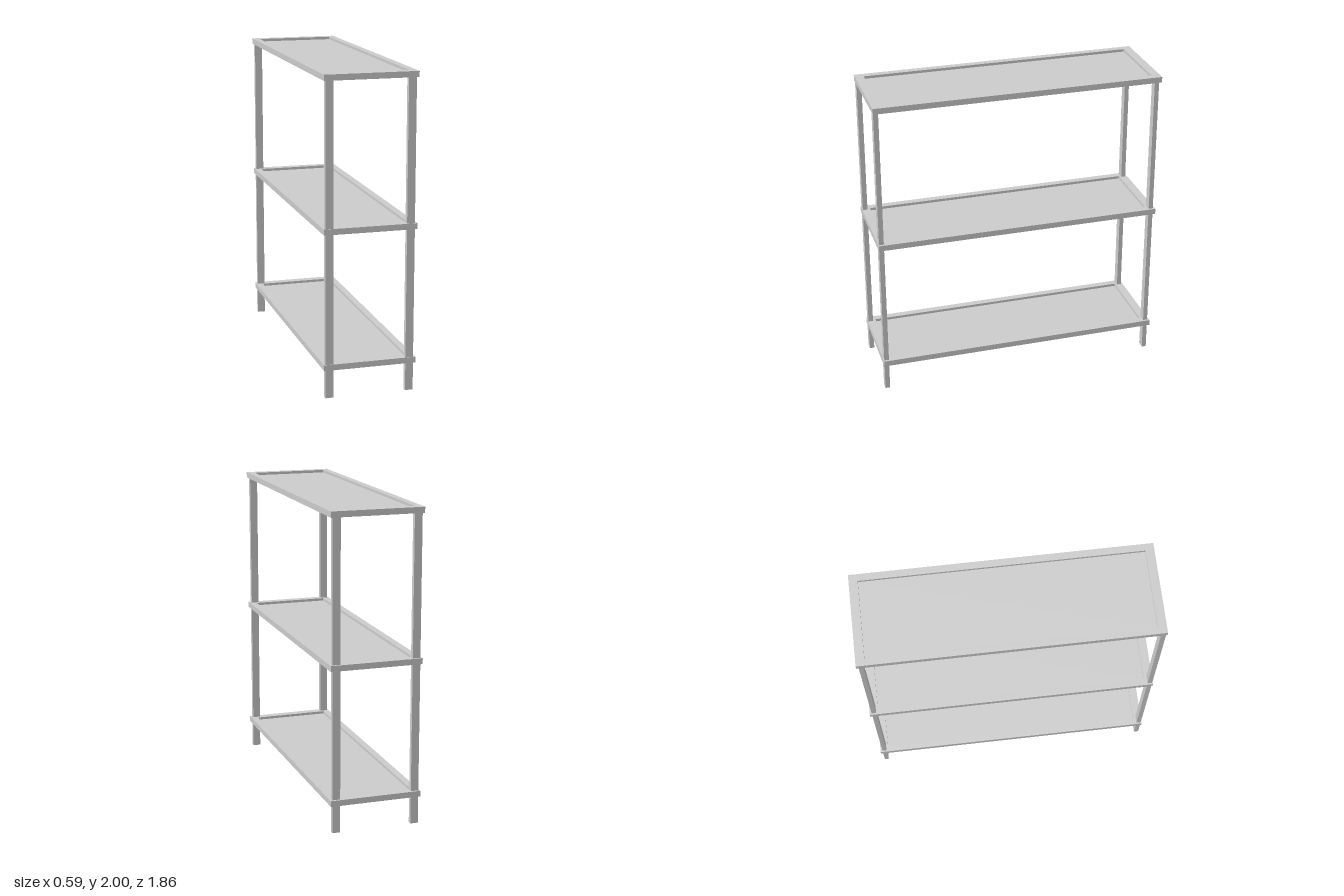
import * as THREE from 'three';

export function createModel() {
  const model = new THREE.Group();
  const material = new THREE.MeshStandardMaterial({ color: 0xcccccc });

  // Box given by its minimum and maximum corners
  function box(name, min, max, parent) {
    const size = max.map((v, i) => v - min[i]);
    const mesh = new THREE.Mesh(new THREE.BoxGeometry(...size), material);
    mesh.position.set(...max.map((v, i) => (v + min[i]) / 2));
    mesh.name = name;
    parent.add(mesh);
  }

  // Rectangular outline for the shelf frame
  function rectangle(Type, x, z) {
    const path = new Type();
    path.moveTo(-x, -z);
    path.lineTo(x, -z);
    path.lineTo(x, z);
    path.lineTo(-x, z);
    path.closePath();
    return path;
  }

  // Shelves: a flat rim around a thin recessed panel
  const frameHeight = 0.037;
  const outline = rectangle(THREE.Shape, 0.295, 0.93);
  outline.holes.push(rectangle(THREE.Path, 0.25, 0.875));
  const frameGeometry = new THREE.ExtrudeGeometry(outline, { depth: frameHeight, bevelEnabled: false });
  frameGeometry.rotateX(-Math.PI / 2);

  const levels = { bottomShelf: 0.178, middleShelf: 1.033, topShelf: 1.963 };
  for (const [name, y] of Object.entries(levels)) {
    const shelf = new THREE.Group();
    shelf.name = name;
    shelf.position.y = y;
    const frame = new THREE.Mesh(frameGeometry, material);
    frame.name = 'shelfFrame';
    shelf.add(frame);
    box('shelfPanel', [-0.255, 0.012, -0.88], [0.255, 0.02, 0.88], shelf);
    model.add(shelf);
  }

  // Legs: flat posts running up to the underside of the top shelf
  const sides = { Right: [-0.285, -0.235], Left: [0.23, 0.28] };
  const ends = { front: [0.895, 0.926], back: [-0.917, -0.888] };
  for (const [side, [x0, x1]] of Object.entries(sides)) {
    for (const [end, [z0, z1]] of Object.entries(ends)) {
      box(`${end}${side}Leg`, [x0, 0, z0], [x1, 1.97, z1], model);
    }
  }

  return model;
}
